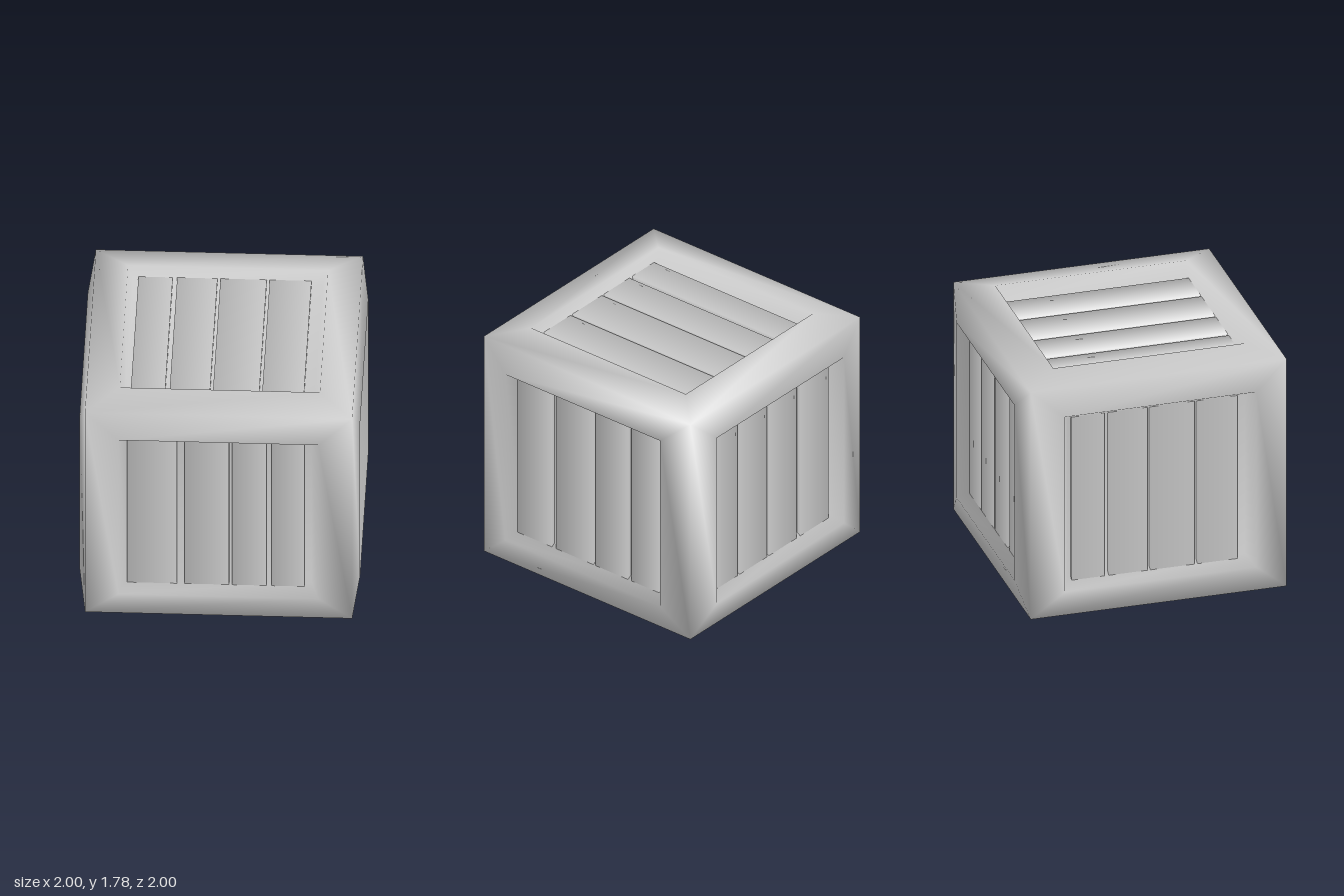
import * as THREE from 'three';
import { mergeVertices } from 'three/addons/utils/BufferGeometryUtils.js';

const material = new THREE.MeshStandardMaterial({ color: 0xcccccc });
const HALF = Math.PI / 2;

// Each ring of a side is [half width, half height, distance from the centre]:
// crate edge, raised rim, recessed floor.
const wallRings = [[0.895, 0.842, 0.895], [0.67, 0.65, 0.94], [0.62, 0.587, 0.835]];
const lidRings = [[0.895, 0.895, 0.842], [0.67, 0.67, 0.888], [0.63, 0.64, 0.78]];

// Left and right edge of every plank on a side
const usual = [[-0.6, -0.37], [-0.34, -0.07], [-0.05, 0.26], [0.28, 0.56]];
const wall = { rings: wallRings, depth: 0.865, length: 1.25 };
const lid = { rings: lidRings, depth: 0.812, length: 1.31 };
const sides = [
  { name: 'front', turn: [0, 0, 0], ...wall, planks: [[-0.615, -0.28], [-0.23, 0.07], [0.09, 0.32], [0.355, 0.575]] },
  { name: 'left', turn: [0, HALF, 0], ...wall, planks: [[-0.63, -0.33], [-0.295, 0.03], [0.05, 0.33], [0.36, 0.6]] },
  { name: 'back', turn: [0, 2 * HALF, 0], ...wall, planks: [[-0.615, -0.36], [-0.34, -0.05], [-0.03, 0.26], [0.3, 0.6]] },
  { name: 'right', turn: [0, -HALF, 0], ...wall, planks: usual },
  { name: 'top', turn: [-HALF, 0, 0], ...lid, planks: usual },
  { name: 'bottom', turn: [HALF, 0, 0], ...lid, planks: usual },
];

// Frame with a raised rim and a sunken floor on all six sides, smooth across its edges
function frameGeometry() {
  const points = [], index = [];
  const signs = [[-1, -1], [1, -1], [1, 1], [-1, 1]];
  for (const { rings, turn } of sides) {
    const base = points.length;
    const rotation = new THREE.Euler(...turn);
    for (const [w, h, d] of rings)
      for (const [sx, sy] of signs) points.push(new THREE.Vector3(sx * w, sy * h, d).applyEuler(rotation));
    for (let r = 0; r < 2; r++)
      for (let i = 0; i < 4; i++) {
        const j = (i + 1) % 4;
        const a = base + r * 4 + i, b = base + r * 4 + j;
        index.push(a, b, b + 4, a, b + 4, a + 4);
      }
    const f = base + 8;
    index.push(f, f + 1, f + 2, f, f + 2, f + 3);
  }
  const geometry = new THREE.BufferGeometry().setFromPoints(points);
  geometry.setIndex(index);
  const merged = mergeVertices(geometry);
  merged.computeVertexNormals();
  return merged;
}

// Four-sided plank; only positions are stretched, so it keeps its rounded shading
function plankGeometry(width, length, thickness) {
  const geometry = new THREE.CylinderGeometry(Math.SQRT1_2, Math.SQRT1_2, 1, 4, 1, true);
  geometry.rotateY(Math.PI / 4);
  geometry.attributes.position.applyMatrix4(new THREE.Matrix4().makeScale(width, length, thickness));
  return geometry;
}

export function createModel() {
  const model = new THREE.Group();
  model.name = 'crate';

  const frame = new THREE.Mesh(frameGeometry(), material);
  frame.name = 'frame';
  model.add(frame);

  // Planks lying in the recess of every side
  const thickness = 0.1;
  for (const { name, turn, planks, depth, length } of sides) {
    const group = new THREE.Group();
    group.name = name + 'Planks';
    group.rotation.set(...turn);
    planks.forEach(([a, b], i) => {
      const plank = new THREE.Mesh(plankGeometry(b - a, length, thickness), material);
      plank.name = name + 'Plank' + (i + 1);
      plank.position.set((a + b) / 2, 0, depth - thickness / 2);
      group.add(plank);
    });
    model.add(group);
  }

  // The crate stands slightly turned
  model.rotation.y = 0.1;
  model.position.y = 0.888;
  return model;
}
